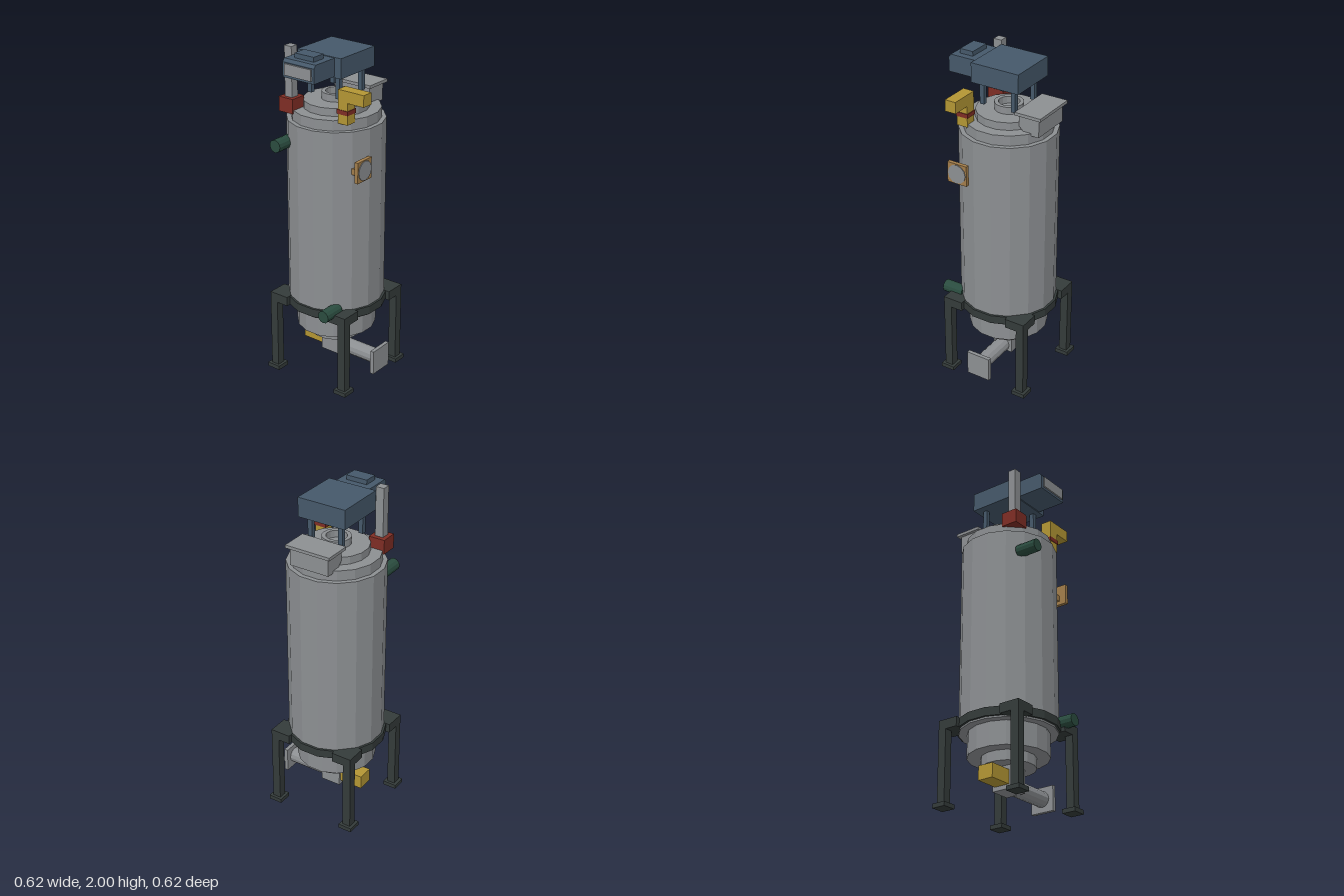
import * as THREE from 'three';

export function createModel() {
  const model = new THREE.Group();
  const mat = (name, color) => {
    const m = new THREE.MeshStandardMaterial({ color, flatShading: true });
    m.name = name;
    return m;
  };
  const steel = mat('steel grey', 0x8c8f92);
  const frame = mat('dark frame', 0x343b3a);
  const blue = mat('drive blue', 0x45586a);
  const red = mat('valve red', 0x7e2d24);
  const yellow = mat('pipe yellow', 0xb39634);
  const green = mat('port green', 0x2a4c3f);
  const bronze = mat('gauge bronze', 0xa27d4a);

  const CX = 0.019, CZ = -0.021; // vessel axis
  const add = (name, geo, material, parent = model) => {
    const mesh = new THREE.Mesh(geo, material);
    mesh.name = name;
    parent.add(mesh);
    return mesh;
  };
  // box given by its limits on each axis
  const box = (name, material, x0, x1, y0, y1, z0, z1, parent) => {
    const g = new THREE.BoxGeometry(x1 - x0, y1 - y0, z1 - z0);
    g.translate((x0 + x1) / 2, (y0 + y1) / 2, (z0 + z1) / 2);
    return add(name, g, material, parent);
  };
  // sixteen-sided drum on the vessel axis, r measured to the flats
  const drum = (name, material, r, y0, y1) => {
    const R = r / Math.cos(Math.PI / 16);
    const g = new THREE.CylinderGeometry(R, R, y1 - y0, 16);
    g.rotateY(Math.PI / 16);
    g.translate(CX, (y0 + y1) / 2, CZ);
    return add(name, g, material);
  };

  // vessel
  drum('vesselBody', steel, 0.275, 0.44, 1.585);
  drum('lidStep', steel, 0.249, 1.58, 1.645);
  drum('lidTop', steel, 0.183, 1.64, 1.69);
  drum('bottomSkirt', steel, 0.228, 0.3, 0.445);
  drum('bottomStep', steel, 0.153, 0.24, 0.305);
  drum('supportRing', frame, 0.288, 0.45, 0.5);

  // open neck on the lid
  const neck = new THREE.LatheGeometry(
    [[0.06, 1.69], [0.083, 1.69], [0.083, 1.732], [0.06, 1.732], [0.06, 1.69]]
      .map(([x, y]) => new THREE.Vector2(x, y)), 16);
  neck.translate(CX, 0, CZ);
  add('neck', neck, steel);

  // four legs with brackets and feet
  for (const sx of [-1, 1]) for (const sz of [-1, 1]) {
    const leg = new THREE.Group();
    leg.name = 'leg';
    const x = CX + sx * 0.25, z = CZ + sz * 0.25;
    box('post', frame, x - 0.025, x + 0.025, 0.02, 0.47, z - 0.025, z + 0.025, leg);
    box('foot', frame, x - 0.042, x + 0.042, 0, 0.025, z - 0.042, z + 0.042, leg);
    const bx = CX + sx * 0.2125, bz = CZ + sz * 0.2125;
    box('bracket', frame, bx - 0.0625, bx + 0.0625, 0.447, 0.503, bz - 0.0625, bz + 0.0625, leg);
    model.add(leg);
  }

  // outlet below the vessel
  box('outletBody', steel, CX - 0.063, CX + 0.063, 0.105, 0.245, -0.082, 0.045);
  const pipe = new THREE.CylinderGeometry(0.046, 0.046, 0.26, 12);
  pipe.rotateX(Math.PI / 2);
  pipe.translate(CX, 0.146, 0.165);
  add('outletPipe', pipe, steel);
  box('outletFlange', steel, -0.055, 0.094, 0.07, 0.218, 0.289, 0.312);
  box('outletActuator', yellow, CX - 0.048, CX + 0.048, 0.13, 0.213, -0.226, -0.08);

  // drive unit on four posts
  for (const x of [-0.084, 0.116]) for (const z of [-0.117, 0.079])
    box('drivePost', blue, x - 0.0135, x + 0.0135, 1.732, 1.87, z - 0.0135, z + 0.0135);
  box('driveHousing', blue, -0.13, 0.17, 1.863, 1.977, -0.173, 0.127);
  const side = new THREE.Shape();
  [[-0.13, 1.87], [-0.304, 1.87], [-0.304, 1.955], [-0.29, 1.973], [-0.13, 1.973]]
    .forEach(([x, y], i) => (i ? side.lineTo(x, y) : side.moveTo(x, y)));
  const motor = new THREE.ExtrudeGeometry(side, { depth: 0.215, bevelEnabled: false });
  motor.translate(0, 0, -0.131);
  add('motor', motor, blue);
  box('motorEndPlate', steel, -0.313, -0.303, 1.885, 1.95, -0.113, 0.069);
  box('motorCap', blue, -0.256, -0.173, 1.97, 2, -0.088, 0.044);

  // side hopper with flange
  const hopper = new THREE.Shape();
  [[0.16, 1.74], [0.16, 1.67], [0.2, 1.63], [0.285, 1.63], [0.285, 1.74]]
    .forEach(([x, y], i) => (i ? hopper.lineTo(x, y) : hopper.moveTo(x, y)));
  const hopperGeo = new THREE.ExtrudeGeometry(hopper, { depth: 0.246, bevelEnabled: false });
  hopperGeo.translate(0, 0, -0.144);
  add('hopper', hopperGeo, steel);
  box('hopperFlange', steel, 0.142, 0.304, 1.735, 1.753, -0.163, 0.119);

  // relief valve and stack
  box('valveBlock', red, -0.205, -0.105, 1.625, 1.71, -0.248, -0.149);
  box('stack', steel, -0.181, -0.131, 1.7, 2, -0.223, -0.173);

  // elbow vent with collar
  box('ventRiser', yellow, -0.172, -0.105, 1.63, 1.82, 0.139, 0.204);
  box('ventOutlet', yellow, -0.172, -0.105, 1.755, 1.822, 0.139, 0.312);
  box('ventCollar', red, -0.176, -0.101, 1.685, 1.71, 0.133, 0.208);

  // side ports
  for (const [y, z] of [[1.46, -0.189], [0.505, 0.145]]) {
    const g = new THREE.CylinderGeometry(0.037, 0.037, 0.13, 12);
    g.rotateZ(Math.PI / 2);
    g.translate(-0.249, y, z);
    add('sidePort', g, green);
  }

  // gauge on the front
  box('gaugePlate', bronze, -0.185, -0.06, 1.315, 1.437, 0.263, 0.286);
  box('gaugeStem', bronze, -0.14, -0.105, 1.338, 1.374, 0.19, 0.265);
  const dial = new THREE.CylinderGeometry(0.057, 0.057, 0.005, 12);
  dial.rotateX(Math.PI / 2);
  dial.translate(-0.1225, 1.376, 0.288);
  add('gaugeDial', dial, steel);

  return model;
}
